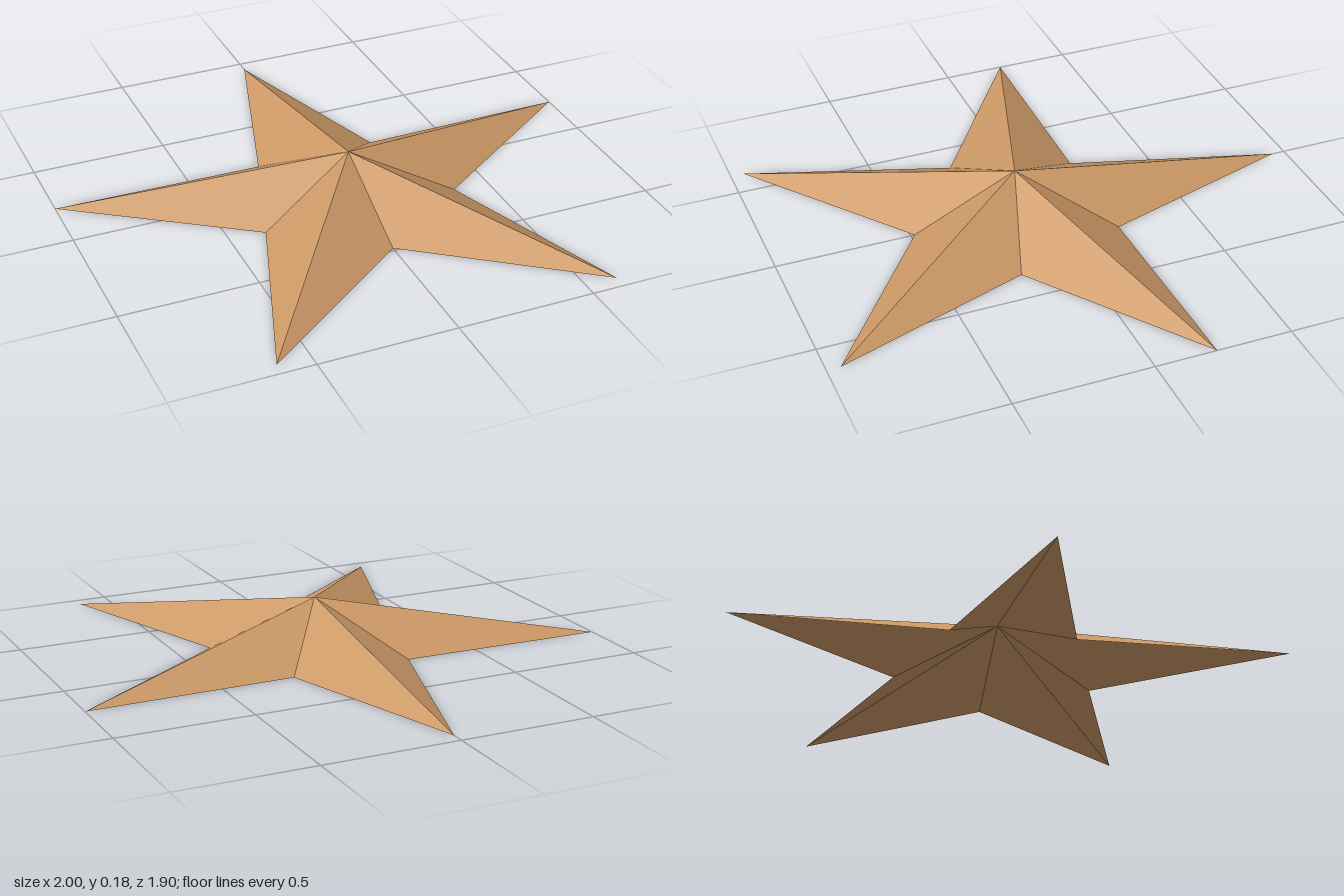
import * as THREE from 'three';

const TIP = 1.0515, NOTCH = 0.386, HEIGHT = 0.18, CENTRE_Z = 0.1;

// Rim point i of ten: even ones are tips, odd ones are notches; 0 points to the back
function rimPoint(i) {
  const angle = (i * Math.PI) / 5;
  const radius = i % 2 === 0 ? TIP : NOTCH;
  return [Math.sin(angle) * radius, 0, CENTRE_Z - Math.cos(angle) * radius];
}

export function createModel() {
  const copper = new THREE.MeshStandardMaterial({ color: 0xcc9966, side: THREE.DoubleSide, flatShading: true });
  copper.name = 'copper';

  const group = new THREE.Group();
  group.name = 'star';

  // Hollow five-pointed shell: ten facets meeting at a raised centre, open below
  const positions = [];
  for (let i = 0; i < 10; i++) {
    positions.push(0, HEIGHT, CENTRE_Z, ...rimPoint((i + 1) % 10), ...rimPoint(i));
  }
  const geometry = new THREE.BufferGeometry();
  geometry.setAttribute('position', new THREE.Float32BufferAttribute(positions, 3));
  geometry.computeVertexNormals();

  const shell = new THREE.Mesh(geometry, copper);
  shell.name = 'starShell';
  group.add(shell);
  return group;
}
